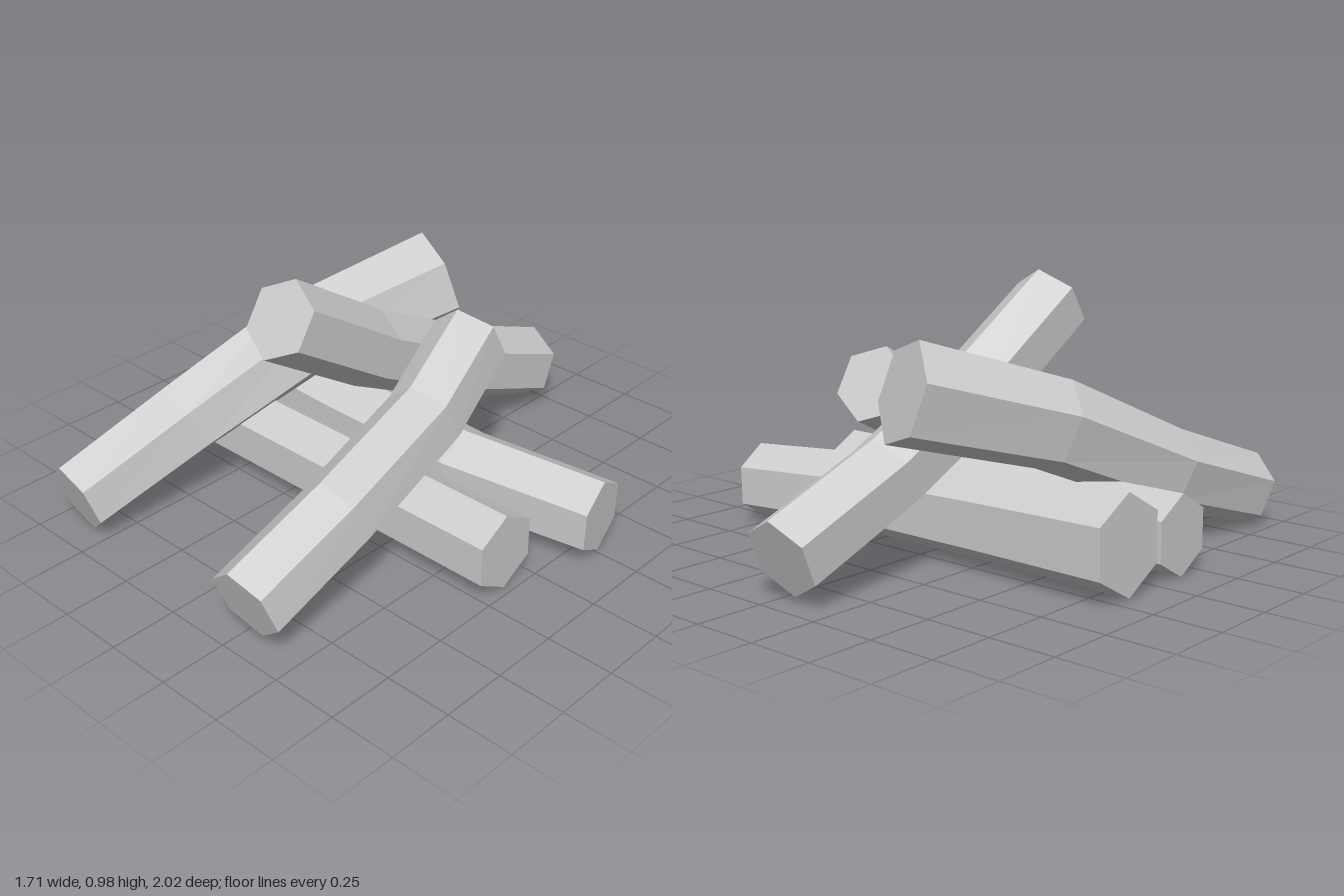
import * as THREE from 'three';

const SIDES = 6;
const UP = new THREE.Vector3(0, 1, 0);

// Sweeps a tapering hexagon along a bent path; each path entry is [x, y, z, radius].
function makeLog(name, path, twistDegrees, material) {
  const centres = path.map(([x, y, z]) => new THREE.Vector3(x, y, z));
  const last = path.length - 1;
  const twist = THREE.MathUtils.degToRad(twistDegrees);

  const rings = centres.map((centre, i) => {
    const before = centres[Math.max(i - 1, 0)];
    const after = centres[Math.min(i + 1, last)];
    const along = after.clone().sub(before).normalize();
    const side = along.clone().cross(UP).normalize();
    const up = side.clone().cross(along);
    return Array.from({ length: SIDES }, (_, k) => {
      const a = (k / SIDES) * Math.PI * 2 + twist;
      return centre.clone()
        .addScaledVector(up, Math.cos(a) * path[i][3])
        .addScaledVector(side, Math.sin(a) * path[i][3]);
    });
  });

  const points = [];
  for (let k = 0; k < SIDES; k++) {
    const n = (k + 1) % SIDES;
    // bark faces
    for (let i = 0; i < last; i++) {
      const a = rings[i][k], b = rings[i][n], c = rings[i + 1][k], d = rings[i + 1][n];
      points.push(a, b, c, b, d, c);
    }
    // sawn ends
    points.push(centres[0], rings[0][n], rings[0][k]);
    points.push(centres[last], rings[last][k], rings[last][n]);
  }
  const geometry = new THREE.BufferGeometry().setFromPoints(points);
  geometry.computeVertexNormals();
  const mesh = new THREE.Mesh(geometry, material);
  mesh.name = name;
  return mesh;
}

export function createModel() {
  const group = new THREE.Group();
  group.name = 'logPile';
  const wood = new THREE.MeshStandardMaterial({ color: 0xcccccc, flatShading: true });

  // two logs lying on the ground
  group.add(makeLog('frontGroundLog', [
    [-0.85, 0.155, 0.135, 0.146], [0.72, 0.155, 0.135, 0.146],
  ], 0, wood));
  group.add(makeLog('backGroundLog', [
    [-0.856, 0.19, -0.182, 0.177], [-0.3, 0.178, -0.166, 0.166],
    [0.27, 0.166, -0.165, 0.154], [0.828, 0.153, -0.262, 0.143],
  ], 0, wood));

  // log leaning back over them
  group.add(makeLog('centreLeaningLog', [
    [-0.067, 0.862, 0.407, 0.147], [-0.067, 0.59, -0.02, 0.147],
    [-0.067, 0.35, -0.49, 0.147], [-0.067, 0.163, -0.963, 0.147],
  ], 0, wood));

  // two bent logs leaning forward
  group.add(makeLog('rightLeaningLog', [
    [-0.62, 0.14, 0.915, 0.141], [-0.565, 0.29, 0.45, 0.153],
    [-0.425, 0.505, -0.03, 0.168], [-0.195, 0.657, -0.54, 0.186],
  ], -11, wood));
  group.add(makeLog('leftLeaningLog', [
    [0.318, 0.18, 0.955, 0.143], [0.313, 0.318, 0.54, 0.143],
    [0.26, 0.46, 0.04, 0.143], [0.175, 0.612, -0.305, 0.143],
  ], -11, wood));

  return group;
}
